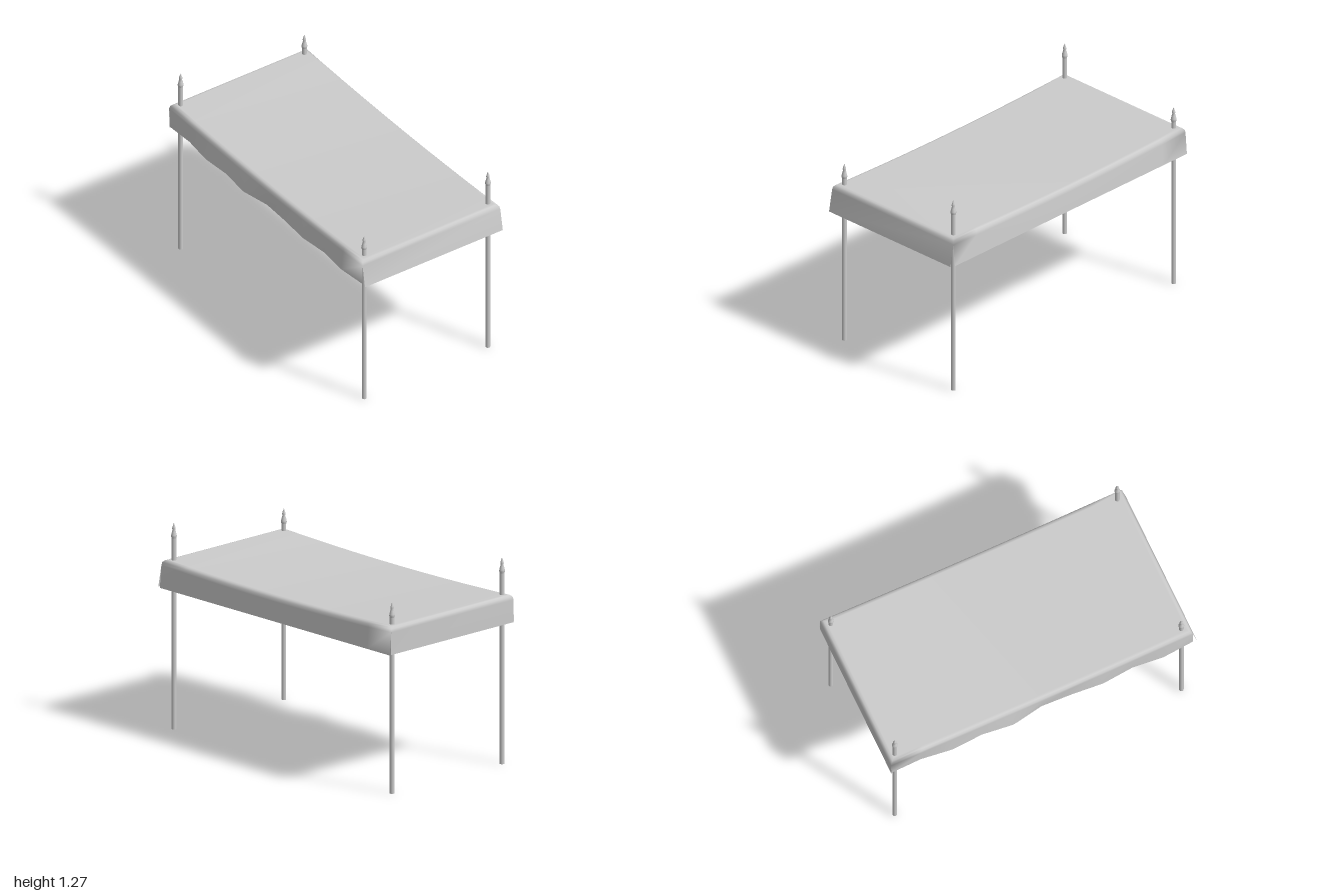
import * as THREE from 'three';
import { mergeVertices } from 'three/addons/utils/BufferGeometryUtils.js';

const lerp = THREE.MathUtils.lerp;
// Canopy rim and heights
const X0 = -0.997, X1 = 0.973, Z0 = -0.512, Z1 = 0.49;
const TOP = 1.045, SAG = 0.021, HEM = 0.872, ROUND = 0.03;
const NX = 10, NZ = 1;

// Cloth height: sags towards the middle of the long span
const clothY = (x) => TOP - SAG * (1 - (x / 0.985) ** 2);

// Adds a grid of quads; point(s, row) gives each corner, rows run down the sheet
function addGrid(out, cols, rows, point) {
  for (let i = 0; i < cols; i++) {
    for (let j = 0; j < rows; j++) {
      const a = point(i / cols, j), b = point(i / cols, j + 1);
      const c = point((i + 1) / cols, j + 1), d = point((i + 1) / cols, j);
      out.push(...a, ...b, ...d, ...b, ...c, ...d);
    }
  }
}

function canopyGeometry() {
  const pos = [];
  // Top sheet
  addGrid(pos, NX, NZ, (s, j) => {
    const x = lerp(X0 + ROUND, X1 - ROUND, s);
    return [x, clothY(x), lerp(Z0 + ROUND, Z1 - ROUND, j / NZ)];
  });

  // Rounded edge followed by a hanging flap: [inset, drop]
  const edge = [[ROUND, 0], [0.015, 0.004], [0.004, 0.015], [0, 0.034]];
  // Outward offset of the wavy front hem, left to right
  const wave = [-0.003, -0.008, 0.016, 0.004, 0.026, -0.01, -0.002, 0.014, -0.004, 0.014, -0.002];
  const sides = [
    { from: [0, 1], to: [1, 1], out: [0, 1], n: NX, hem: HEM + 0.006, flare: (s) => wave[Math.round(s * NX)] },
    { from: [1, 1], to: [1, 0], out: [1, 0], n: NZ, hem: HEM, flare: () => 0.026 },
    { from: [1, 0], to: [0, 0], out: [0, -1], n: NX, hem: HEM, flare: () => 0.012 },
    { from: [0, 0], to: [0, 1], out: [-1, 0], n: NZ, hem: HEM, flare: () => -0.002 },
  ];
  for (const { from, to, out, n, hem, flare } of sides) {
    addGrid(pos, n, edge.length, (s, j) => {
      const isHem = j === edge.length;
      const [inset, drop] = isHem ? [0, 0] : edge[j];
      const x = lerp(X0 + inset, X1 - inset, lerp(from[0], to[0], s));
      const z = lerp(Z0 + inset, Z1 - inset, lerp(from[1], to[1], s));
      if (!isHem) return [x, clothY(x) - drop, z];
      const f = flare(s);
      return [x + out[0] * f, hem, z + out[1] * f];
    });
  }
  const geo = new THREE.BufferGeometry();
  geo.setAttribute('position', new THREE.Float32BufferAttribute(pos, 3));
  const merged = mergeVertices(geo, 1e-4);
  merged.computeVertexNormals();
  return merged;
}

// Finial profile: [radius, distance below the tip]
const FINIAL = [
  [0.0145, 0.095], [0.018, 0.083], [0.017, 0.076], [0.012, 0.056],
  [0.008, 0.044], [0.011, 0.036], [0.009, 0.026], [0, 0],
];

function makePole(name, x, z, height, material) {
  const pole = new THREE.Group();
  pole.name = name;
  const shaftTop = height - FINIAL[0][1];
  const shaft = new THREE.Mesh(new THREE.CylinderGeometry(0.0145, 0.0145, shaftTop, 12), material);
  shaft.position.y = shaftTop / 2;
  shaft.name = 'shaft';
  const points = FINIAL.map(([r, d]) => new THREE.Vector2(r, height - d));
  const finial = new THREE.Mesh(new THREE.LatheGeometry(points, 12), material);
  finial.name = 'finial';
  pole.add(shaft, finial);
  pole.position.set(x, 0, z);
  return pole;
}

export function createModel() {
  const model = new THREE.Group();
  model.name = 'canopy';
  const grey = new THREE.MeshStandardMaterial({ color: 0xcccccc });
  const cloth = new THREE.MeshStandardMaterial({ color: 0xcccccc, side: THREE.DoubleSide });

  const sheet = new THREE.Mesh(canopyGeometry(), cloth);
  sheet.name = 'clothRoof';
  model.add(sheet);

  // Two diagonal pairs of poles, one pair taller
  model.add(
    makePole('frontLeftPole', 0.92, 0.44, 1.18, grey),
    makePole('frontRightPole', -0.95, 0.44, 1.273, grey),
    makePole('backLeftPole', 0.92, -0.46, 1.273, grey),
    makePole('backRightPole', -0.95, -0.46, 1.18, grey),
  );
  return model;
}
